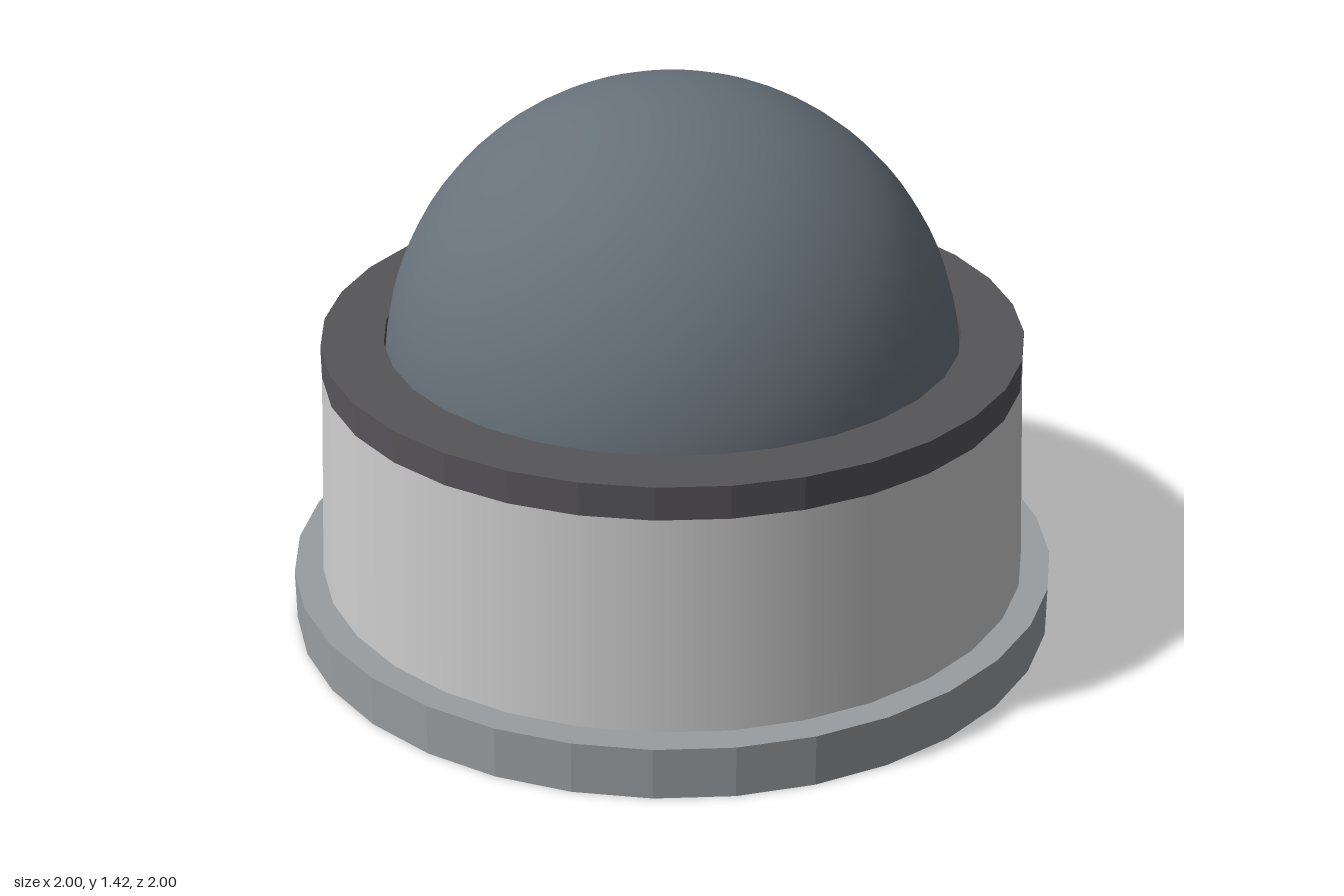
import * as THREE from 'three';

const SIDES = 32;

export function createModel() {
  const group = new THREE.Group();
  const add = (name, geometry, color, y, flatShading = false) => {
    const mesh = new THREE.Mesh(geometry, new THREE.MeshStandardMaterial({ color, flatShading }));
    mesh.name = name;
    mesh.position.y = y;
    group.add(mesh);
  };

  // Wide faceted foot
  add('basePlate', new THREE.CylinderGeometry(1, 1, 0.135, SIDES), 0x999da0, 0.0675, true);

  // Slightly tapered wall, smooth around
  add('housing', new THREE.CylinderGeometry(0.9, 0.925, 0.555, SIDES), 0xcccccc, 0.4125);

  // Flat collar with a hole for the dome
  const inner = 0.74, outer = 0.9, height = 0.085;
  const profile = [[inner, 0], [outer, 0], [outer, height], [inner, height], [inner, 0]]
    .map(([r, y]) => new THREE.Vector2(r, y));
  add('collar', new THREE.LatheGeometry(profile, SIDES), 0x565458, 0.69, true);

  // Smooth hemisphere resting on the housing
  add('dome', new THREE.SphereGeometry(0.738, 48, 20, 0, Math.PI * 2, 0, Math.PI / 2), 0x67717a, 0.687);

  return group;
}
